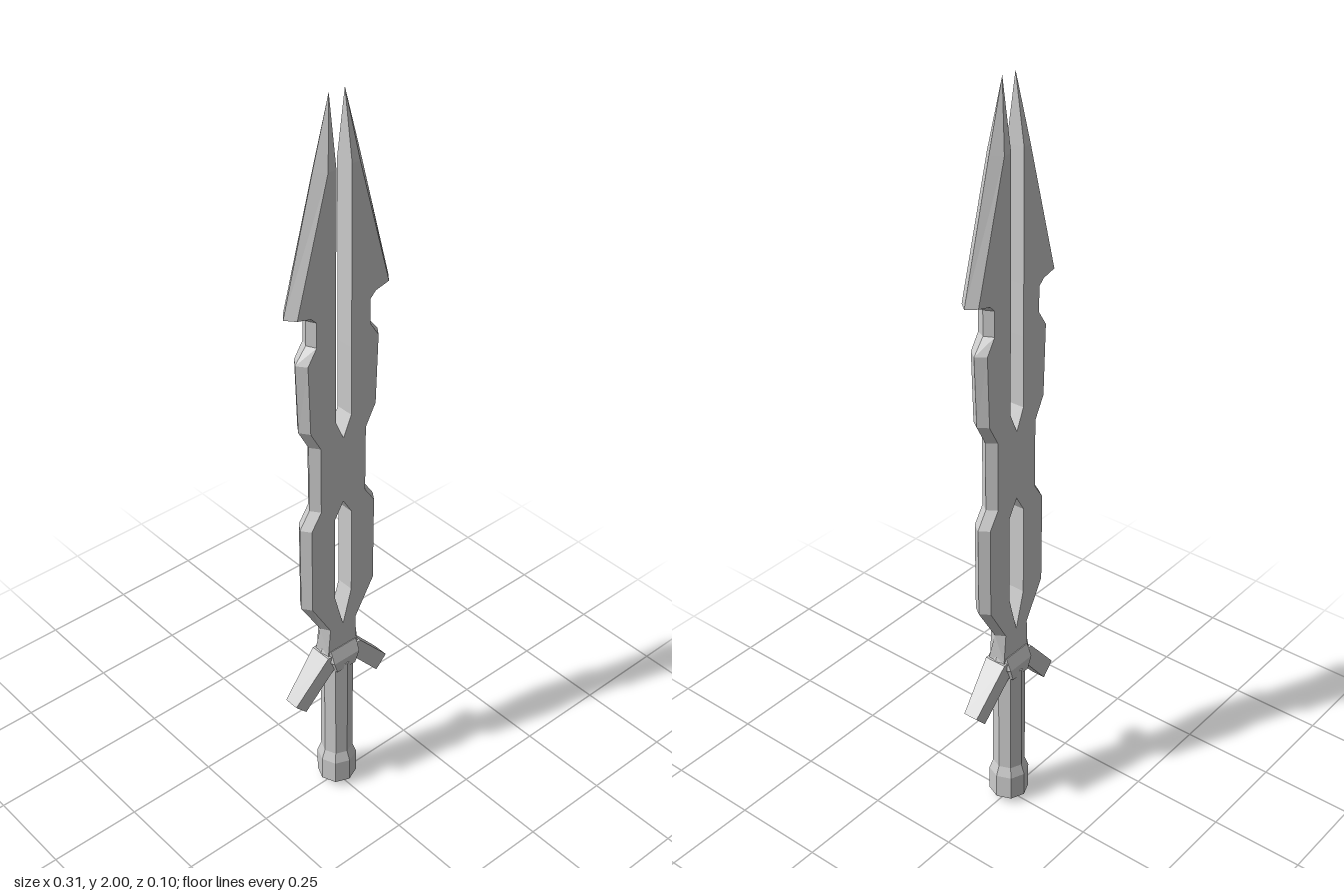
import * as THREE from 'three';

const material = new THREE.MeshStandardMaterial({ color: 0xcccccc, flatShading: true });

// Skin a row of closed rings (arrays of [x, y, z]), with fan caps at both ends.
function loft(rings) {
  const n = rings[0].length;
  const index = [];
  for (let r = 0; r < rings.length - 1; r++) {
    for (let i = 0; i < n; i++) {
      const j = (i + 1) % n;
      const a = r * n + i, b = r * n + j, c = b + n, d = a + n;
      index.push(a, b, c, a, c, d);
    }
  }
  const top = (rings.length - 1) * n;
  for (let i = 1; i < n - 1; i++) {
    index.push(0, i + 1, i, top, top + i, top + i + 1);
  }
  const geometry = new THREE.BufferGeometry();
  geometry.setAttribute('position', new THREE.Float32BufferAttribute(rings.flat(2), 3));
  geometry.setIndex(index);
  const flat = geometry.toNonIndexed();
  flat.computeVertexNormals();
  return flat;
}

function addPart(group, name, geometry) {
  const mesh = new THREE.Mesh(geometry, material);
  mesh.name = name;
  group.add(mesh);
}

// Blade rows: y, slot wall x, end of flat face x, cutting edge x, half thickness, edge half thickness
const T = 0.024;
const bladeRows = [
  [0.46, 0, 0.045, 0.05, T, T],
  [0.48, 0, 0.045, 0.049, T, T],
  [0.56, 0, 0.042, 0.056, T, 0],
  [0.66, 0.027, 0.1, 0.117, T, 0],
  [0.905, 0.027, 0.1, 0.117, T, 0],
  [0.95, 0, 0.07, 0.087, T, 0],
  [1.135, 0, 0.07, 0.087, T, 0],
  [1.19, 0.024, 0.1, 0.117, T, 0],
  [1.375, 0.023, 0.106, 0.124, T, 0],
  [1.415, 0.023, 0.08, 0.092, T, 0],
  [1.48, 0.023, 0.08, 0.092, T, 0],
  [1.495, 0.023, 0.095, 0.108, T, 0],
  [1.505, 0.023, 0.135, 0.155, T, 0],
  [1.83, 0.022, 0.045, 0.068, T, 0],
  [1.995, 0.022, 0.022, 0.022, 0, 0],
];

function bladeHalf(side) {
  return loft(bladeRows.map(([y, inner, face, edge, t, e]) => {
    const ring = [[inner, t], [face, t], [edge, e], [edge, -e], [face, -t], [inner, -t]]
      .map(([x, z]) => [side * x, y, z]);
    return side < 0 ? ring.reverse() : ring;
  }));
}

export function createModel() {
  const group = new THREE.Group();
  group.name = 'sword';

  // Two mirrored halves leave the slots between them
  addPart(group, 'leftBlade', bladeHalf(1));
  addPart(group, 'rightBlade', bladeHalf(-1));

  // Crossguard: both swept-down arms in one strip; top x, top y, bottom x, bottom y, half depth
  const armRows = [
    [0.155, 0.36, 0.122, 0.325, 0.02],
    [0.055, 0.475, 0.038, 0.425, 0.03],
  ];
  const section = (side, [tx, ty, bx, by, d]) => [
    [side * tx, ty, -d], [side * tx, ty, d], [side * bx, by, d], [side * bx, by, -d],
  ];
  addPart(group, 'crossguard', loft([
    section(-1, armRows[0]), section(-1, armRows[1]),
    section(1, armRows[1]), section(1, armRows[0]),
  ]));

  // Six-sided collar: y, front half width, full half width, half depth
  const collarRows = [
    [0.42, 0.03, 0.04, 0.038],
    [0.455, 0.042, 0.06, 0.04],
    [0.488, 0.042, 0.05, 0.026],
  ];
  addPart(group, 'collar', loft(collarRows.map(([y, w, full, d]) => [
    [-w, y, d], [w, y, d], [full, y, 0], [w, y, -d], [-w, y, -d], [-full, y, 0],
  ])));

  // Octagonal grip and pommel
  const lathe = (points) => new THREE.LatheGeometry(points.map((p) => new THREE.Vector2(...p)), 8);
  addPart(group, 'grip', lathe([[0.042, 0.11], [0.042, 0.435], [0, 0.46]]));
  addPart(group, 'pommel', lathe([[0, 0], [0.052, 0.02], [0.052, 0.09], [0.042, 0.118]]));

  return group;
}
